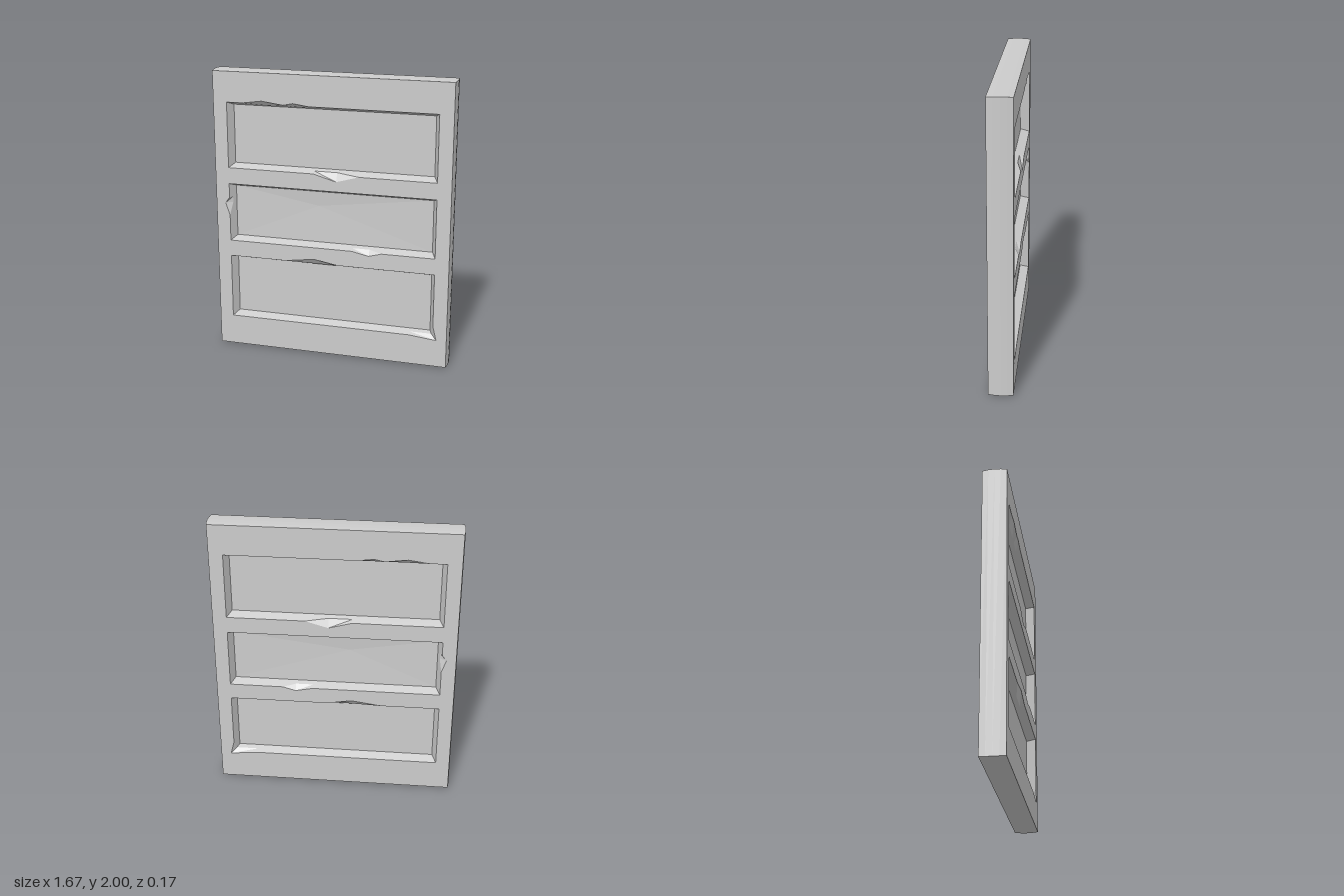
import * as THREE from 'three';

const FACE_Z = 0.083, PANEL_Z = 0.02;
const material = new THREE.MeshStandardMaterial({ color: 0xcccccc, flatShading: true });

// Each opening: bottom and top height, chips along each edge (counter-clockwise), panel middle and dent depth
const openings = [
  { name: 'upper', y0: 1.325, y1: 1.785, middle: [0, 1.55], dent: 0,
    bottom: [[-0.12, 1.325], [0.04, 1.28], [0.2, 1.325]],
    top: [[-0.15, 1.785], [-0.26, 1.8], [-0.33, 1.785], [-0.48, 1.805], [-0.62, 1.785]] },
  { name: 'middle', y0: 0.795, y1: 1.21, middle: [-0.1, 1.08], dent: 0.008,
    bottom: [[0.15, 0.795], [0.27, 0.77], [0.36, 0.795]],
    left: [[-0.73, 1.11], [-0.76, 1.07], [-0.73, 0.98]] },
  { name: 'lower', y0: 0.22, y1: 0.68, middle: [0, 0.45], dent: 0,
    bottom: [[0.56, 0.22]], corner: [0.755, 0.2], right: [[0.73, 0.3]],
    top: [[0.05, 0.68], [-0.12, 0.71], [-0.33, 0.68]] },
];

function rim({ y0, y1, bottom = [], corner = [0.73, y0], right = [], top = [], left = [] }) {
  return [[-0.73, y0], ...bottom, corner, ...right, [0.73, y1], ...top, [-0.73, y1], ...left];
}

// The rim without chips, shrunk towards the panel (t = 0 at the face, 1 at the panel)
function recess(o, t) {
  const x = 0.73 - 0.03 * t, dy = 0.025 * t;
  const z = THREE.MathUtils.lerp(FACE_Z, PANEL_Z, t);
  return rim(o).map(([px, py]) => [
    THREE.MathUtils.clamp(px, -x, x), THREE.MathUtils.clamp(py, o.y0 + dy, o.y1 - dy), z]);
}

function fromPoints(points) {
  const g = new THREE.BufferGeometry();
  g.setAttribute('position', new THREE.Float32BufferAttribute(points.flat(), 3));
  g.computeVertexNormals();
  return g;
}

// Joins closed rings of equal length with quads
function loft(rings) {
  const points = [];
  for (let r = 0; r < rings.length - 1; r++) {
    const a = rings[r], b = rings[r + 1];
    a.forEach((p, i) => {
      const j = (i + 1) % a.length;
      points.push(p, a[j], b[i], a[j], b[j], b[i]);
    });
  }
  return fromPoints(points);
}

// Reflects a geometry to the back and restores the face direction
function mirrored(geometry) {
  const p = (geometry.index ? geometry.toNonIndexed() : geometry).getAttribute('position');
  const points = [];
  for (let i = 0; i < p.count; i += 3) {
    for (const k of [i, i + 2, i + 1]) points.push([p.getX(k), p.getY(k), -p.getZ(k)]);
  }
  return fromPoints(points);
}

// Outer rectangle of the slab, very slightly bulged at mid thickness
function slabRing(z) {
  const s = (z / FACE_Z) ** 2, x = 0.833 - 0.007 * s, d = 0.004 * s;
  return [[-x, d, z], [x, d, z], [x, 2 - d, z], [-x, 2 - d, z]];
}

export function createModel() {
  const door = new THREE.Group();
  door.name = 'panelDoor';

  const add = (name, geometry) => {
    const mesh = new THREE.Mesh(geometry, material);
    mesh.name = name;
    door.add(mesh);
  };
  const addBothSides = (name, geometry) => {
    add(name + 'Front', geometry);
    add(name + 'Back', mirrored(geometry));
  };

  // Outer edges
  add('slabEdges', loft([-1, -0.5, 0, 0.5, 1].map((t) => slabRing(t * FACE_Z))));

  // Flat frame around the openings
  const toVectors = (list) => list.map(([x, y]) => new THREE.Vector2(x, y));
  const frame = new THREE.Shape(toVectors(slabRing(FACE_Z)));
  for (const o of openings) frame.holes.push(new THREE.Path(toVectors(rim(o))));
  addBothSides('frame', new THREE.ShapeGeometry(frame).translate(0, 0, FACE_Z));

  for (const o of openings) {
    // Chipped rim sloping down to the panel
    const chipped = rim(o).map(([x, y]) => [x, y, FACE_Z]);
    const inner = recess(o, 1);
    addBothSides(o.name + 'Recess', loft([chipped, recess(o, 0.5), inner]));

    // Sunken panel, fanned around its middle
    const middle = [...o.middle, PANEL_Z - o.dent];
    const fan = inner.flatMap((p, i) => [p, inner[(i + 1) % inner.length], middle]);
    addBothSides(o.name + 'Panel', fromPoints(fan));
  }
  return door;
}
